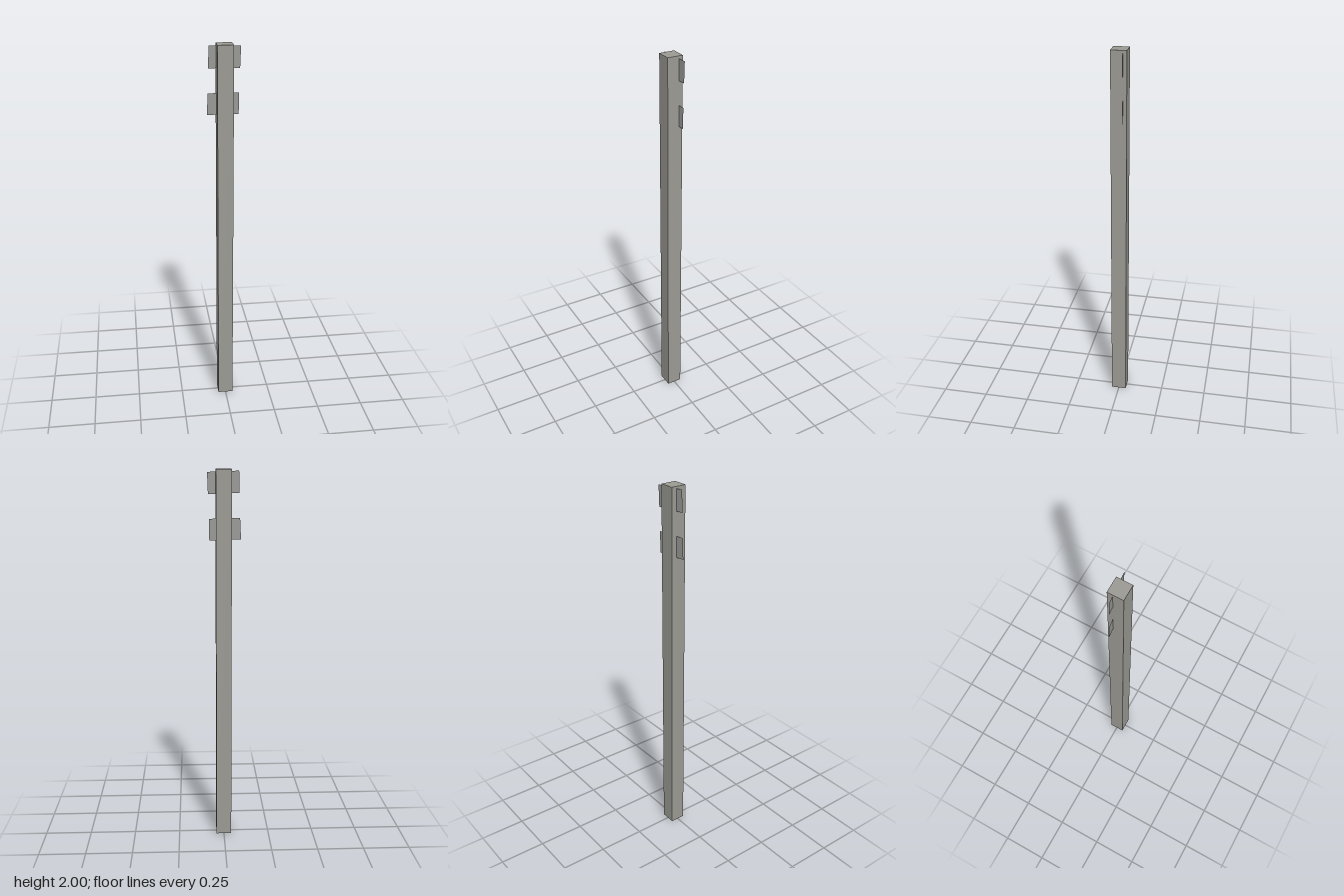
import * as THREE from 'three';

const HALF = 0.041, HEIGHT = 2;

export function createModel() {
  const group = new THREE.Group();
  const postGrey = new THREE.MeshStandardMaterial({ color: 0x9b9a93, side: THREE.DoubleSide });
  postGrey.name = 'post grey';
  const plateGrey = new THREE.MeshStandardMaterial({ color: 0x989896, side: THREE.DoubleSide });
  plateGrey.name = 'plate grey';

  // Square hollow post, closed on top and open at the foot
  const box = new THREE.BoxGeometry(HALF * 2, HEIGHT, HALF * 2);
  const index = Array.from(box.index.array);
  index.splice(18, 6); // drop the bottom face
  box.setIndex(index);
  box.clearGroups();
  box.translate(0, HEIGHT / 2, 0);
  const post = new THREE.Mesh(box, postGrey);
  post.name = 'post';
  group.add(post);

  // Thin cross plates, slightly skewed, passing through the post
  const plateZ = (x) => -0.017 - 0.105 * x;
  function addPlate(name, corners) {
    const geometry = new THREE.BufferGeometry();
    const points = corners.map(([x, y]) => new THREE.Vector3(x, y, plateZ(x)));
    geometry.setFromPoints(points);
    geometry.setIndex([0, 1, 2, 0, 2, 3]);
    geometry.computeVertexNormals();
    const plate = new THREE.Mesh(geometry, plateGrey);
    plate.name = name;
    group.add(plate);
  }
  // corners: bottom right, bottom left, top left, top right
  addPlate('upperPlate', [[-0.082, 1.88], [0.081, 1.875], [0.085, 1.985], [-0.079, 1.991]]);
  addPlate('lowerPlate', [[-0.09, 1.645], [0.075, 1.64], [0.077, 1.751], [-0.085, 1.755]]);

  return group;
}
